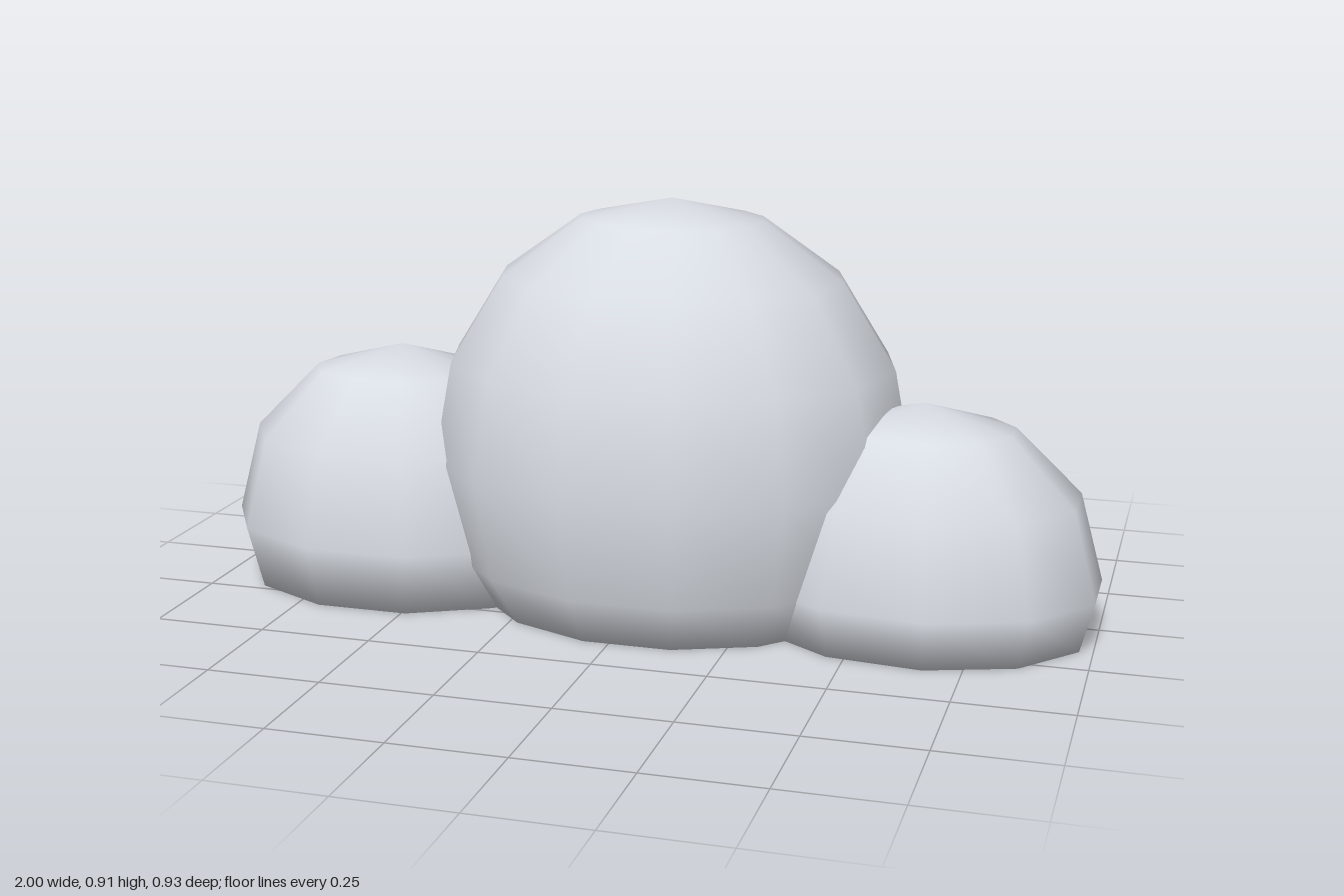
import * as THREE from 'three';
import { mergeVertices } from 'three/addons/utils/BufferGeometryUtils.js';

// Ellipsoid centred on c with radii r, cut flat and closed at y = 0, smooth all round
function puffGeometry(c, r, segments, rings, turn) {
  const profile = [];
  let prev = null;
  for (let i = 0; i <= rings; i++) {
    const a = (i / rings) * Math.PI;
    const p = new THREE.Vector2(i === 0 ? 0 : Math.sin(a), c[1] + r[1] * Math.cos(a));
    if (p.y < 0) {
      profile.push(prev.clone().lerp(p, prev.y / (prev.y - p.y)));
      break;
    }
    profile.push(p);
    prev = p;
  }
  profile.push(new THREE.Vector2(0, 0)); // centre of the flat base
  profile.reverse();

  let geo = new THREE.LatheGeometry(profile, segments, turn);
  geo.deleteAttribute('uv');
  geo.deleteAttribute('normal');
  geo.scale(r[0], 1, r[2]);
  geo.translate(c[0], 0, c[2]);
  geo = mergeVertices(geo);
  geo.computeVertexNormals();
  return geo;
}

export function createModel() {
  const group = new THREE.Group();
  group.name = 'cloud';
  const cloudGrey = new THREE.MeshStandardMaterial({ color: 0xd8dce3 });
  cloudGrey.name = 'cloudGrey';

  // name, centre, radii, sides, rings, turn about y
  const puffs = [
    ['mainPuff', [0.04, 0.33, 0.02], [0.545, 0.58, 0.455], 14, 8, Math.PI / 2],
    ['leftPuff', [0.616, 0.11, 0.068], [0.4, 0.39, 0.303], 11, 6, -Math.PI / 2],
    ['rightPuff', [-0.595, 0.14, 0.04], [0.409, 0.41, 0.319], 11, 6, Math.PI],
    ['backPuff', [-0.03, 0.14, -0.13], [0.4, 0.42, 0.336], 11, 6, Math.PI + 0.09],
  ];
  for (const [name, centre, radii, sides, rings, turn] of puffs) {
    const mesh = new THREE.Mesh(puffGeometry(centre, radii, sides, rings, turn), cloudGrey);
    mesh.name = name;
    group.add(mesh);
  }
  return group;
}
